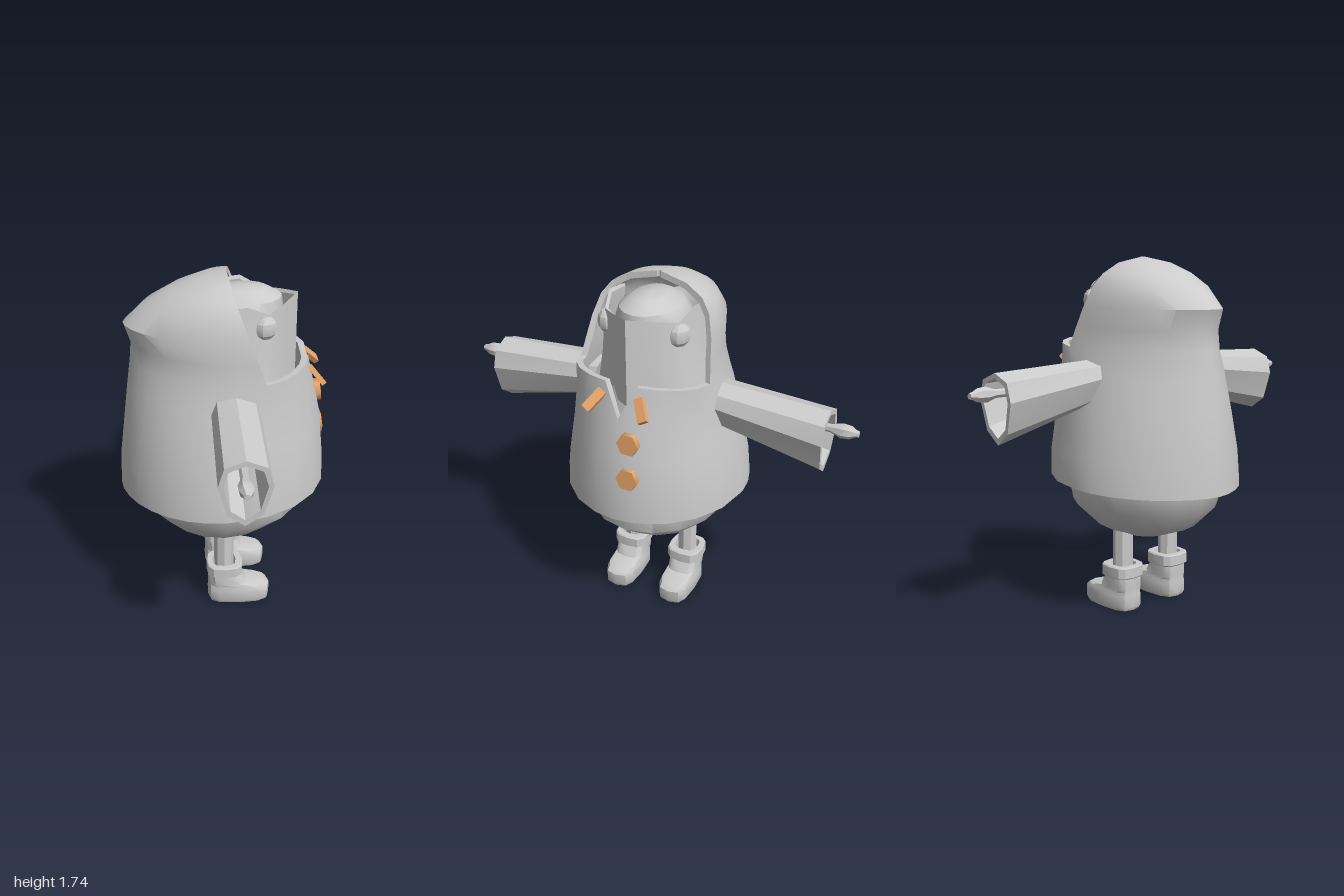
import * as THREE from 'three';
import { toCreasedNormals } from 'three/addons/utils/BufferGeometryUtils.js';

const grey = new THREE.MeshStandardMaterial({ color: 0xcccccc, side: THREE.DoubleSide });
const orange = new THREE.MeshStandardMaterial({ color: 0xe8a56a });
const V = (x, y, z) => new THREE.Vector3(x, y, z);

function add(parent, name, geometry, material = grey) {
  const mesh = new THREE.Mesh(geometry, material);
  mesh.name = name;
  parent.add(mesh);
  return mesh;
}

// Triangles of a quad, skipping collapsed ones
function quad(out, a, b, c, d) {
  for (const t of [[a, b, c], [a, c, d]]) {
    const area = V().subVectors(t[1], t[0]).cross(V().subVectors(t[2], t[0])).length();
    if (area > 1e-7) for (const p of t) out.push(p.x, p.y, p.z);
  }
}

function grid(out, rows) {
  for (let i = 0; i + 1 < rows.length; i++)
    for (let j = 0; j + 1 < rows[i].length; j++)
      quad(out, rows[i][j], rows[i + 1][j], rows[i + 1][j + 1], rows[i][j + 1]);
}

function toGeometry(out, crease) {
  const g = new THREE.BufferGeometry();
  g.setAttribute('position', new THREE.Float32BufferAttribute(out, 3));
  return toCreasedNormals(g, crease);
}

// Sheet of rows given a thickness towards the body axis, with closed borders
function thickSheet(out, rows, thickness) {
  const inner = rows.map(r => r.map(p => {
    const dir = V(0.05, Math.min(p.y, 1.3), 0).sub(p).normalize();
    return p.clone().addScaledVector(dir, thickness);
  }));
  grid(out, rows);
  grid(out, inner.map(r => [...r].reverse()));
  const border = s => {
    const n = s[0].length - 1;
    return [...s[0], ...s.slice(1).map(r => r[n]),
      ...[...s[s.length - 1]].reverse(), ...[...s].reverse().map(r => r[0])];
  };
  const a = border(rows), b = border(inner);
  for (let k = 0; k + 1 < a.length; k++) quad(out, a[k], a[k + 1], b[k + 1], b[k]);
}

// Closed ellipse row: back x, front x, half width
function ellipse(y, back, front, halfZ, sides, power = 1) {
  return Array.from({ length: sides + 1 }, (_, k) => {
    const a = (k % sides) / sides * Math.PI * 2;
    const c = Math.cos(a), s = Math.sin(a);
    return V((back + front) / 2 + (front - back) / 2 * Math.sign(c) * Math.abs(c) ** power, y,
      halfZ * Math.sign(s) * Math.abs(s) ** power);
  });
}

function loft(sections, sides, crease, power) {
  const out = [];
  grid(out, sections.map(s => ellipse(...s, sides, power)));
  return toGeometry(out, crease);
}

// Coat point: x runs back - centre - front, angle starts at the front
function coatPoint(y, back, centre, front, halfZ, t) {
  const c = Math.cos(t), s = Math.sin(t);
  const x = c > 0 ? centre + (front - centre) * c : centre + (centre - back) * c;
  const z = halfZ * Math.sign(s) * Math.abs(s) ** (c > 0 ? 1 : 1.15);
  return V(x, y, z);
}

function coatGeometry() {
  const half = [0, 0.24, 0.55, 0.87, 1.2];
  for (let k = 0; k <= 8; k++) half.push(Math.PI / 2 + k * Math.PI / 16);
  const angles = [...half, ...half.slice(0, -1).reverse().map(t => 2 * Math.PI - t)];
  // y, back, centre, front, half width
  const lower = [[0.65, -0.51, 0, 0.508, 0.45], [0.8, -0.505, 0.02, 0.505, 0.44],
    [1.0, -0.48, 0.04, 0.485, 0.4], [1.18, -0.458, 0.1, 0.445, 0.362], [1.31, -0.44, 0.18, 0.41, 0.335]]
    .map(s => angles.map(t => coatPoint(...s, t)));
  lower[0].forEach(p => { p.y += 0.035 * p.x; });
  lower[4].forEach((p, j) => { p.y += 0.03 * Math.max(0, Math.cos(angles[j])); });
  // V notch of the collar
  for (const j of [0, angles.length - 1]) lower[4][j].copy(lower[3][j]);

  const hoodAngles = angles.slice(5, angles.length - 5);
  const hood = [[1.31, -0.44, 0.18, 0, 0.335], [1.4, -0.432, 0.15, 0, 0.32], [1.5, -0.465, 0.11, 0, 0.305],
    [1.6, -0.36, 0.073, 0, 0.275], [1.66, -0.25, 0.05, 0, 0.23], [1.71, -0.12, 0.035, 0, 0.145],
    [1.738, 0.01, 0.02, 0, 0.01]].map(s => hoodAngles.map(t => coatPoint(...s, t)));
  const out = [];
  thickSheet(out, lower, 0.03);
  thickSheet(out, hood, 0.03);
  return toGeometry(out, 0.65);
}

function maskGeometry() {
  // x, z, top height along one cheek
  const cheek = [[0.355, 0, 1.63], [0.28, 0.1, 1.61], [0.2, 0.185, 1.59], [0.1, 0.215, 1.64], [-0.05, 0.22, 1.62]];
  const path = [...cheek.slice(1).reverse().map(([x, z, y]) => [x, -z, y]), ...cheek];
  const rows = [[1.2, 1.25], [1.38, 1.1], [null, 1]]
    .map(([y, w]) => path.map(([x, z, top]) => V(x, y ?? top, z * w)));
  const out = [];
  thickSheet(out, rows, 0.02);
  return toGeometry(out, 0.6);
}

// Hollow sleeve along z: each ring is z, top, bottom, half width
function sleeveGeometry(side) {
  const rings = [[0.28, 1.258, 1.05, 0.112], [0.36, 1.255, 1.035, 0.114], [0.865, 1.235, 0.91, 0.118],
    [0.865, 1.212, 0.94, 0.095], [0.4, 1.23, 1.06, 0.09]];
  const rows = rings.map(([z, top, bottom, w]) => Array.from({ length: 9 }, (_, k) => {
    const a = -side * (k % 8) / 8 * Math.PI * 2;
    const s = Math.sin(a), high = bottom + (top - bottom) * 0.62;
    const y = high + s * (s > 0 ? top - high : high - bottom);
    const narrow = s < -0.1 ? 0.95 : 1.1;
    return V(0.043 + w * Math.cos(a) * (Math.abs(s) < 0.1 ? 1 : narrow), y, side * (z + (s > 0 ? 0 : 0.01 * s)));
  }));
  const out = [];
  grid(out, rows);
  return toGeometry(out, 0.3);
}

export function createModel() {
  const model = new THREE.Group();
  model.name = 'hoodedFigure';

  // Egg body with a narrow domed head
  add(model, 'body', loft([[0.355, 0, 0, 0], [0.365, -0.12, 0.12, 0.11], [0.42, -0.27, 0.26, 0.24],
    [0.53, -0.385, 0.395, 0.345], [0.66, -0.415, 0.415, 0.37], [0.9, -0.4, 0.4, 0.345], [1.2, -0.3, 0.33, 0.28],
    [1.4, -0.2, 0.28, 0.2], [1.55, -0.15, 0.29, 0.17], [1.62, -0.1, 0.28, 0.14], [1.66, -0.02, 0.21, 0.08],
    [1.672, 0.1, 0.1, 0]], 16, 0.7));
  add(model, 'hoodedCoat', coatGeometry());
  add(model, 'faceMask', maskGeometry());

  // Buttons down one side of the coat front
  for (const [x, y] of [[0.478, 1.085], [0.493, 0.905]]) {
    const button = add(model, 'button', new THREE.CylinderGeometry(0.055, 0.055, 0.03, 6).toNonIndexed(), orange);
    button.rotation.z = -Math.PI / 2 + 0.1;
    button.position.set(x, y, -0.07);
  }

  for (const side of [-1, 1]) {
    const name = side > 0 ? 'left' : 'right';

    const eye = add(model, name + 'Eye', toCreasedNormals(new THREE.SphereGeometry(0.056, 8, 6), 0.5));
    eye.scale.z = 0.7;
    eye.position.set(0.19, 1.528, side * 0.188);
    eye.rotation.y = side * 0.5;

    const toggle = add(model, name + 'Toggle', new THREE.BoxGeometry(0.025, 0.115, 0.045), orange);
    toggle.position.set(0.443, 1.253, side * 0.118);
    toggle.quaternion.setFromUnitVectors(V(0, 1, 0), V(-0.07, 0.075, -side * 0.055).normalize());

    // Sleeve, thin arm and small hand
    add(model, name + 'Sleeve', sleeveGeometry(side));
    const handProfile = [[0.02, 0.4], [0.02, 0.87], [0.036, 0.92], [0.032, 0.96], [0.018, 0.985], [0.015, 1], [0, 1]]
      .map(p => new THREE.Vector2(...p));
    const arm = add(model, name + 'Arm', toCreasedNormals(new THREE.LatheGeometry(handProfile, 7), 0.4));
    arm.rotation.x = side * Math.PI / 2;
    arm.position.set(0.037, 1.145, 0);

    // Leg and boot
    const leg = add(model, name + 'Leg', toCreasedNormals(new THREE.CylinderGeometry(0.05, 0.05, 0.24, 8), 0.4));
    leg.position.set(0, 0.29, side * 0.155);
    const boot = add(model, name + 'Boot', loft([[0, 0.07, 0.07, 0], [0, -0.078, 0.228, 0.076],
      [0.015, -0.085, 0.236, 0.083], [0.075, -0.085, 0.236, 0.083], [0.095, -0.083, 0.215, 0.078],
      [0.112, -0.083, 0.115, 0.078], [0.165, -0.082, 0.083, 0.078], [0.172, -0.091, 0.096, 0.09],
      [0.222, -0.091, 0.096, 0.09], [0.228, -0.086, 0.09, 0.085], [0.228, -0.06, 0.06, 0.06],
      [0.18, -0.055, 0.055, 0.055], [0.18, 0, 0, 0]], 12, 0.6, 0.65));
    boot.position.z = side * 0.155;
  }
  return model;
}
